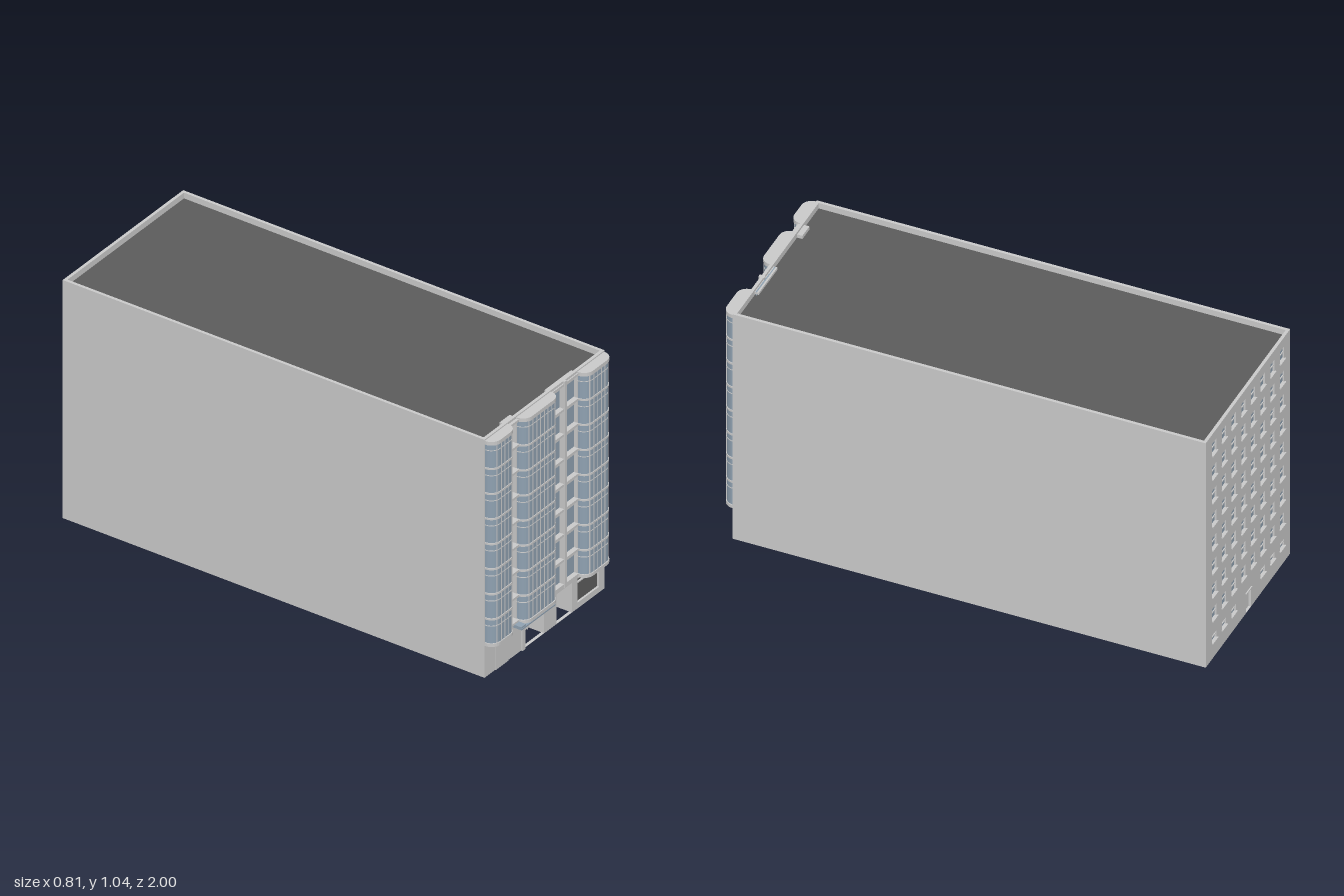
import * as THREE from 'three';

export function createModel() {
  const model = new THREE.Group();
  const mat = (name, color) => {
    const m = new THREE.MeshStandardMaterial({ color });
    m.name = name;
    return m;
  };
  const wall = mat('light concrete', 0xc9c9c9);
  const glass = mat('blue glass', 0x8fa1b1);
  const dark = mat('dark grey', 0x5c5c5c);

  const add = (name, geo, m, parent = model) => {
    const mesh = new THREE.Mesh(geo, m);
    mesh.name = name;
    parent.add(mesh);
    return mesh;
  };
  const group = (name) => {
    const g = new THREE.Group();
    g.name = name;
    model.add(g);
    return g;
  };
  // box given by its limits
  const box = (name, x0, x1, y0, y1, z0, z1, m, parent) => {
    const geo = new THREE.BoxGeometry(x1 - x0, y1 - y0, z1 - z0);
    geo.translate((x0 + x1) / 2, (y0 + y1) / 2, (z0 + z1) / 2);
    return add(name, geo, m, parent);
  };
  const rect = (x0, x1, y0, y1, Type = THREE.Shape) =>
    new Type([[x0, y0], [x1, y0], [x1, y1], [x0, y1]].map((p) => new THREE.Vector2(...p)));
  // upright wall with rectangular openings
  const holedWall = (name, x0, x1, y1, z0, z1, holes) => {
    const s = rect(x0, x1, 0, y1);
    s.holes = holes.map((h) => rect(...h, THREE.Path));
    const geo = new THREE.ExtrudeGeometry(s, { depth: z1 - z0, bevelEnabled: false });
    add(name, geo.translate(0, 0, z0), wall);
  };
  // plan outline of [x, z] points raised from y0 to y1
  const prism = (name, pts, y0, y1, m, parent) => {
    const s = new THREE.Shape(pts.map(([x, z]) => new THREE.Vector2(x, -z)));
    const geo = new THREE.ExtrudeGeometry(s, { depth: y1 - y0, bevelEnabled: false });
    return add(name, geo.rotateX(-Math.PI / 2).translate(0, y0, 0), m, parent);
  };

  const H = 1.045, FRONT = 0.95, BACK = -0.993, T = 0.013;
  const PITCH = 0.11, FLOOR = 0.15, FLOORS = 8;
  const FL = -0.403, FR = 0.377, BL = -0.38, BR = 0.402;

  // skewed side walls and roof
  prism('leftWall', [[FR - T, FRONT - T], [FR, FRONT - T], [BR, BACK + T], [BR - T, BACK + T]], 0, H, wall);
  prism('rightWall', [[FL, FRONT - T], [FL + T, FRONT - T], [BL + T, BACK + T], [BL, BACK + T]], 0, H, wall);
  const roofPlan = [[FL + T, FRONT - T], [FR - T, FRONT - T], [BR - T, BACK + T], [BL + T, BACK + T]];
  prism('ceiling', roofPlan, 1.005, 1.015, wall);
  prism('roof', roofPlan, 1.015, 1.02, dark);

  // front wall with openings
  const entrances = [[-0.145, -0.015], [0.065, 0.165]];
  const shop = [0.2, 0.34, 0.025, 0.13];
  holedWall('frontWall', FL, FR, H, FRONT - T, FRONT, [
    [-0.385, -0.262, 0.16, 1.0], [-0.25, -0.195, FLOOR, 1.03], [0.03, 0.2, FLOOR, 1.03],
    ...entrances.map(([a, b]) => [a, b, 0.001, 0.13]), shop,
  ]);

  // curved glass bays
  const bayPlan = (x0, x1, grow) => {
    const pts = [[x0 - grow, FRONT - 0.004]];
    const r = 0.038 + grow, zc = FRONT + 0.002, steps = 7;
    for (let i = 0; i <= steps; i++) {
      const a = (i / steps) * Math.PI / 2;
      pts.push([x0 + 0.038 - r * Math.cos(a), zc + r * Math.sin(a)]);
    }
    for (let i = steps; i >= 0; i--) {
      const a = (i / steps) * Math.PI / 2;
      pts.push([x1 - 0.038 + r * Math.cos(a), zc + r * Math.sin(a)]);
    }
    pts.push([x1 + grow, FRONT - 0.004]);
    return pts.reverse();
  };
  [[-0.398, -0.256], [-0.193, 0.024], [0.203, 0.37]].forEach(([x0, x1], n) => {
    const bay = group('glassBay' + (n + 1));
    prism('bayGlass', bayPlan(x0, x1, 0), 0.15, 1.03, glass, bay);
    prism('baySill', bayPlan(x0, x1, 0.004), 0.14, 0.154, wall, bay);
    prism('bayCap', bayPlan(x0, x1, 0.004), 1.024, 1.04, wall, bay);
    for (let k = 1; k <= FLOORS; k++) {
      const y = FLOOR + k * PITCH;
      if (k < FLOORS) prism('floorBand', bayPlan(x0, x1, 0.003), y - 0.004, y + 0.004, wall, bay);
      prism('transom', bayPlan(x0, x1, 0.0015), y - 0.032, y - 0.029, wall, bay);
    }
    // mullions along the flat face and one on each curve
    const count = Math.round((x1 - x0) / 0.024);
    for (let i = 1; i < count; i++) {
      const x = x0 + ((x1 - x0) * i) / count;
      const d = Math.max(0, 0.038 - Math.min(x - x0, x1 - x));
      const z = FRONT + 0.002 + Math.sqrt(0.038 ** 2 - d * d);
      box('mullion', x - 0.0015, x + 0.0015, 0.15, 1.03, z - 0.003, z + 0.002, wall, bay);
    }
  });

  // balcony strip: recessed wall, slabs and dark panels
  const balcony = group('balconyStrip');
  box('balconyBackWall', -0.255, -0.19, 0.14, 1.035, 0.915, 0.92, wall, balcony);
  for (const x of [-0.255, -0.195]) box('balconySide', x, x + 0.005, 0.14, 1.035, 0.92, 0.938, wall, balcony);
  for (let k = 0; k <= FLOORS; k++) {
    const y = FLOOR + k * PITCH;
    box('balconySlab', -0.254, -0.191, y - 0.005, y + 0.005, 0.92, 0.962, wall, balcony);
    if (k === FLOORS) continue;
    for (const x of [-0.25, -0.235]) {
      const w = x < -0.24 ? 0.0135 : 0.04;
      box('balconyPanel', x, x + w, y + 0.005, y + 0.045, 0.92, 0.925, dark, balcony);
    }
  }

  // flat glazed strip
  const strip = group('glazedStrip');
  box('stripGlass', 0.028, 0.202, 0.145, 1.035, 0.928, 0.934, glass, strip);
  box('centrePost', 0.107, 0.121, 0.14, H, 0.934, 0.958, wall, strip);
  for (let k = 0; k <= FLOORS; k++) {
    const y = FLOOR + k * PITCH;
    box('stripSlab', 0.028, 0.202, y - 0.005, y + 0.005, 0.92, 0.955, wall, strip);
    if (k) box('stripTransom', 0.028, 0.202, y - 0.028, y - 0.024, 0.933, 0.937, wall, strip);
  }

  // recessed ground floor entrances
  entrances.forEach(([a, b], n) => {
    const e = group('entrance' + (n + 1));
    const z = 0.88;
    box('doorPanel', a, b, 0, 0.1, z - 0.005, z, wall, e);
    box('fanlight', a, b, 0.1, 0.135, z - 0.005, z, dark, e);
    for (const y of [0.1, 0.113]) box('fanlightBar', a, b, y, y + 0.004, z, z + 0.004, wall, e);
    for (const x of [a - 0.004, b]) box('recessSide', x, x + 0.004, 0, 0.135, z - 0.005, FRONT - T, wall, e);
    box('recessTop', a, b, 0.13, 0.135, z, FRONT - T, wall, e);
    const m = (a + b) / 2;
    for (const x of [a + 0.012, m, b - 0.012]) box('doorFrame', x - 0.002, x + 0.002, 0, 0.1, z, z + 0.004, wall, e);
  });
  box('entrancePillar', -0.165, -0.147, 0, 0.135, FRONT, 0.957, wall);
  box('serviceDoor', -0.335, -0.25, 0, 0.135, FRONT, 0.953, wall);
  box('canopy', -0.225, -0.005, 0.134, 0.14, FRONT, 0.995, glass);
  box('canopyTop', -0.225, -0.195, 0.14, 0.147, FRONT, 0.993, glass);

  // shop window
  const sw = group('shopWindow');
  box('shopPane', shop[0], shop[1], shop[2], shop[3], 0.937, 0.941, dark, sw);
  box('shopTransom', shop[0], shop[1], 0.108, 0.113, 0.941, 0.948, wall, sw);
  box('shopMullion', 0.268, 0.272, 0.108, 0.13, 0.941, 0.948, wall, sw);

  // back wall with sash windows and a door
  const windows = [];
  for (let row = 0; row <= FLOORS; row++) {
    for (let col = 0; col < 8; col++) {
      if (row === 0 && (col === 3 || col === 4)) continue;
      const x = 0.322 - col * 0.0895;
      const y = row ? 0.205 + (row - 1) * PITCH : 0.092;
      const h = row ? 0.027 : 0.016;
      windows.push([x - 0.02, x + 0.02, y - h, y + h]);
    }
  }
  const door = [-0.015, 0.03, 0.001, 0.09];
  holedWall('backWall', BL, BR, H, BACK, BACK + T, [...windows, door]);
  const back = group('backWindows');
  for (const [a, b, y0, y1] of windows) {
    const m = (y0 + y1) / 2;
    box('windowGlass', a, b, y0, y1, BACK + 0.008, BACK + 0.012, glass, back);
    box('windowSill', a - 0.004, b + 0.004, y0 - 0.005, y0, -1.0, BACK + 0.008, wall, back);
    box('windowRail', a, b, m - 0.002, m + 0.002, BACK + 0.004, BACK + 0.008, wall, back);
  }
  box('backDoor', door[0], door[1], 0, door[3], BACK + 0.01, BACK + 0.016, wall);
  box('backDoorLintel', door[0] - 0.004, door[1] + 0.004, 0.09, 0.095, -0.998, BACK, wall);

  return model;
}
